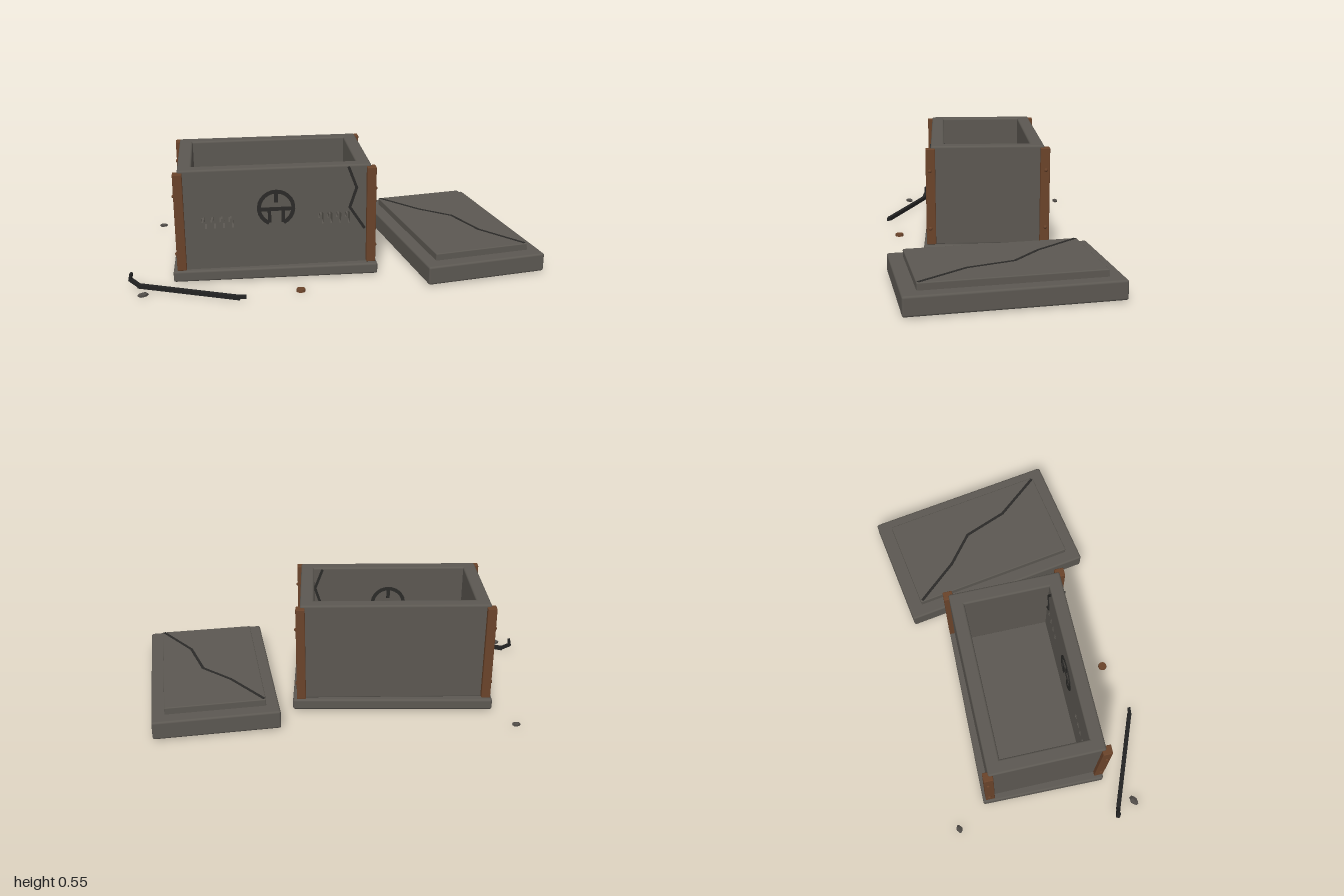
import * as THREE from 'three';
import { RoundedBoxGeometry } from 'three/addons/geometries/RoundedBoxGeometry.js';

const mat = (name, color) => {
  const m = new THREE.MeshStandardMaterial({ color });
  m.name = name;
  return m;
};

export function createModel() {
  const stone = mat('stone', 0x5c5852);
  const dark = mat('dark recess', 0x2b2a28);
  const copper = mat('rusty brown', 0x6a432a);
  const iron = mat('black iron', 0x222222);
  const rubble = mat('rubble grey', 0x504c48);

  const model = new THREE.Group();
  model.name = 'openChest';

  const add = (parent, name, geometry, material, x = 0, y = 0, z = 0) => {
    const mesh = new THREE.Mesh(geometry, material);
    mesh.name = name;
    mesh.position.set(x, y, z);
    parent.add(mesh);
    return mesh;
  };
  const slab = (w, h, d, r = 0.01) => new RoundedBoxGeometry(w, h, d, 2, r);

  // A line of thin bars through 2D points, extruded along z
  const stroke = (parent, name, points, width, depth, material) => {
    const group = new THREE.Group();
    group.name = name;
    for (let i = 1; i < points.length; i++) {
      const [ax, ay] = points[i - 1], [bx, by] = points[i];
      const length = Math.hypot(bx - ax, by - ay) + width * 0.5;
      const bar = add(group, name + 'Segment', new THREE.BoxGeometry(length, width, depth),
        material, (ax + bx) / 2, (ay + by) / 2, 0);
      bar.rotation.z = Math.atan2(by - ay, bx - ax);
    }
    parent.add(group);
    return group;
  };

  // Plinth, turned very slightly under the chest
  const cx = -0.294, cz = 0.014;
  add(model, 'plinth', slab(0.975, 0.054, 0.615), stone, cx, 0.033, cz).rotation.y = -0.017;

  // Chest walls
  const W = 0.904, D = 0.552, T = 0.066, Y0 = 0.055, Y1 = 0.55;
  const chest = new THREE.Group();
  chest.name = 'chest';
  chest.position.set(cx, 0, cz);
  model.add(chest);
  const H = Y1 - Y0, midY = (Y0 + Y1) / 2;
  add(chest, 'backWall', slab(W, H, T), stone, 0, midY, -(D - T) / 2);
  for (const s of [-1, 1]) {
    add(chest, 'sideWall', slab(T, H, D), stone, s * (W - T) / 2, midY, 0);
  }

  // Front wall with two rows of hooked slots
  const panel = new THREE.Shape();
  panel.moveTo(-W / 2 + 0.002, Y0);
  panel.lineTo(W / 2 - 0.002, Y0);
  panel.lineTo(W / 2 - 0.002, 0.535);
  panel.lineTo(-W / 2 + 0.002, 0.535);
  panel.closePath();
  const hook = [[0.016, 0], [0.025, 0], [0.025, 0.05], [0.018, 0.058], [0.005, 0.058],
    [0, 0.05], [0, 0.03], [0.008, 0.03], [0.008, 0.046], [0.016, 0.046]];
  for (const start of [-0.645, -0.094]) {
    for (let i = 0; i < 4; i++) {
      const x = start + i * 0.042 - cx;
      panel.holes.push(new THREE.Path(hook.map(([u, v]) => new THREE.Vector2(x + u, 0.262 + v))));
    }
  }
  add(chest, 'frontWall', new THREE.ExtrudeGeometry(panel, { depth: T, bevelEnabled: false }),
    stone, 0, 0, D / 2 - T);
  add(chest, 'frontRim', slab(W, 0.07, T), stone, 0, Y1 - 0.035, (D - T) / 2);

  // Inlaid ornament and crack, passing through the front wall
  const inlay = new THREE.Group();
  inlay.name = 'frontInlay';
  inlay.position.set(0, 0, (D - T) / 2);
  chest.add(inlay);
  const arc = [];
  for (let i = 0; i <= 22; i++) {
    const a = THREE.MathUtils.degToRad(-62 + i * 304 / 22);
    arc.push([0.081 * Math.cos(a), 0.352 + 0.081 * Math.sin(a)]);
  }
  const depth = T + 0.008;
  stroke(inlay, 'ornamentRing', arc, 0.018, depth, dark);
  stroke(inlay, 'ornamentBar', [[-0.08, 0.347], [0.08, 0.347]], 0.018, depth, dark);
  stroke(inlay, 'ornamentStem', [[0, 0.43], [0, 0.385]], 0.018, depth, dark);
  for (const s of [-1, 1]) {
    stroke(inlay, 'ornamentLeg', [[s * 0.032, 0.345], [s * 0.032, 0.285]], 0.016, depth, dark);
  }
  stroke(inlay, 'wallCrack',
    [[0.05, 0.538], [0.088, 0.437], [0.056, 0.34], [0.126, 0.233]].map(([x, y]) => [x - cx, y]),
    0.013, depth, dark);

  // Corner posts with rivets on the outer sides
  for (const sx of [-1, 1]) {
    for (const sz of [-1, 1]) {
      add(chest, 'cornerPost', slab(0.044, 0.476, 0.046, 0.004), copper, sx * 0.451, 0.302, sz * 0.278);
      for (const y of [0.145, 0.432]) {
        const rivet = add(chest, 'rivet', new THREE.SphereGeometry(0.009, 12, 8), copper,
          sx * 0.473, y, sz * 0.282);
        rivet.scale.x = 0.8;
      }
    }
  }

  // Lid lying beside the chest
  const lid = new THREE.Group();
  lid.name = 'lid';
  lid.position.set(0.623, 0, -0.028);
  lid.rotation.y = 0.16;
  model.add(lid);
  add(lid, 'lidSlab', slab(0.6, 0.091, 0.97), stone, 0, 0.0515, 0);
  add(lid, 'lidPanel', slab(0.477, 0.05, 0.833, 0.005), stone, 0, 0.106, 0);

  // Crack from corner to corner of the lid panel
  const lidCrack = stroke(model, 'lidCrack',
    [[0.333, 0.391], [0.505, 0.198], [0.655, 0.08], [0.741, -0.134], [0.912, -0.337]],
    0.014, 0.012, dark);
  lidCrack.rotation.x = -Math.PI / 2;
  lidCrack.position.y = 0.1265;

  // Pry bar: straight shaft, raised hook and flat tip
  const bar = new THREE.Group();
  bar.name = 'pryBar';
  model.add(bar);
  const rod = (name, a, b, w, h) => {
    const p = new THREE.Vector3(...a), q = new THREE.Vector3(...b);
    const mesh = add(bar, name, new THREE.BoxGeometry(w, h, p.distanceTo(q) + 0.008), iron);
    mesh.position.copy(p).add(q).multiplyScalar(0.5);
    mesh.lookAt(q);
  };
  rod('pryBarShaft', [-0.945, 0.016, 0.352], [-0.485, 0.016, 0.536], 0.02, 0.019);
  rod('pryBarBend', [-0.945, 0.018, 0.352], [-0.985, 0.045, 0.337], 0.018, 0.016);
  rod('pryBarHook', [-0.985, 0.045, 0.337], [-0.979, 0.074, 0.339], 0.018, 0.012);
  rod('pryBarTip', [-0.49, 0.02, 0.537], [-0.457, 0.02, 0.541], 0.014, 0.016);

  // Loose stone chips and a fallen rivet disc
  for (const [x, z, w, d, turn] of [[-0.868, -0.446, 0.022, 0.016, 0.2], [-0.922, 0.44, 0.028, 0.019, 0.5]]) {
    const geometry = new THREE.DodecahedronGeometry(1, 0);
    geometry.computeBoundingBox();
    const chip = add(model, 'stoneChip', geometry, rubble, x, 0.01, z);
    chip.scale.set(w, 0.0105, d);
    chip.rotation.y = turn;
  }
  add(model, 'fallenDisc', new THREE.CylinderGeometry(0.02, 0.022, 0.012, 16), copper, -0.198, 0.006, 0.468);

  return model;
}
